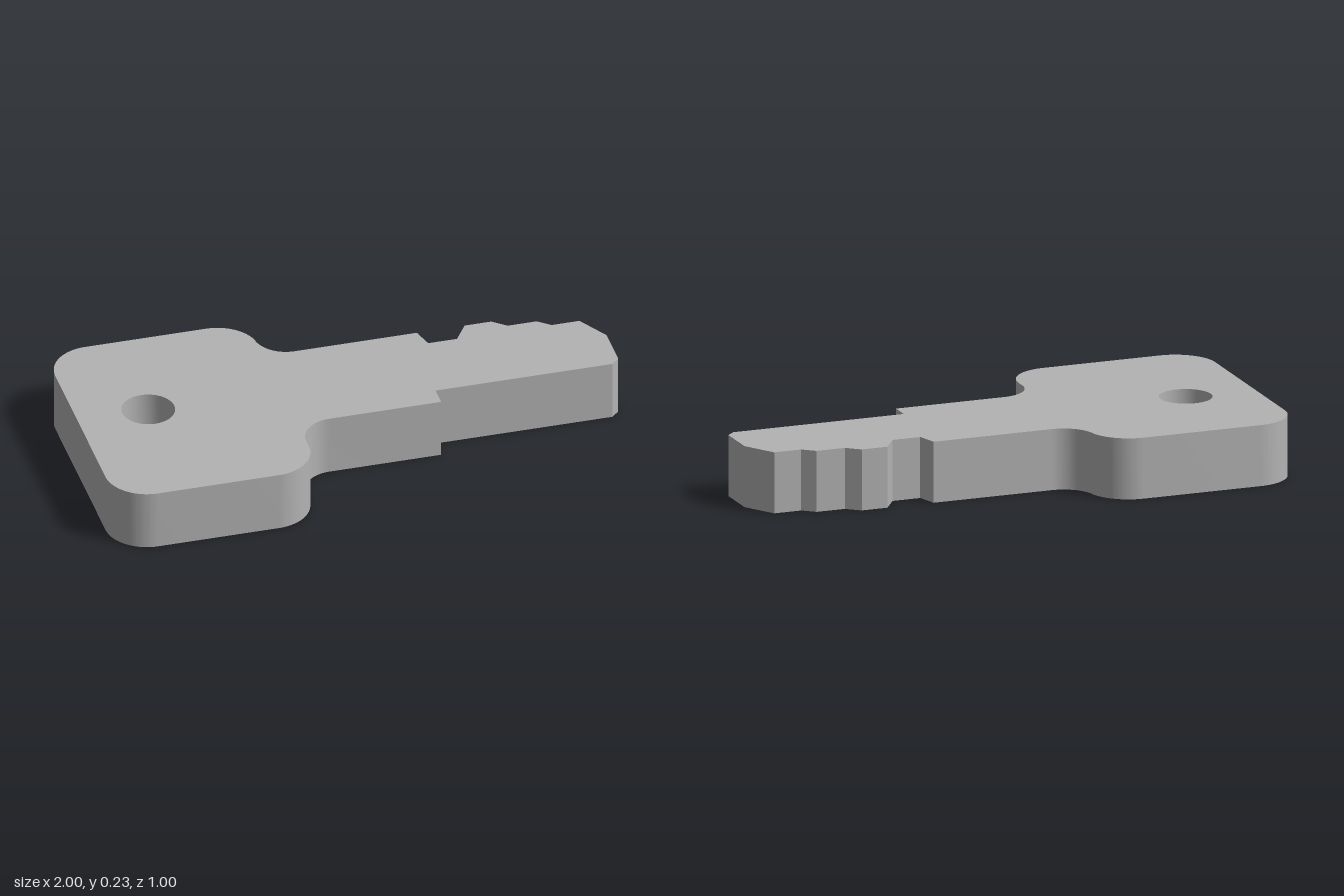
import * as THREE from 'three';
import { toCreasedNormals } from 'three/addons/utils/BufferGeometryUtils.js';

const THICKNESS = 0.23;

// Outline drawn flat, counter-clockwise; +y of the shape becomes the back (-z).
function keyOutline() {
  const s = new THREE.Shape();
  const { PI } = Math;

  // Blade: tip and toothed back edge
  const teeth = [
    [1, 0.075], [0.93, 0.192], [0.825, 0.192], [0.78, 0.23], [0.67, 0.23],
    [0.62, 0.272], [0.52, 0.272], [0.47, 0.195], [0.362, 0.195], [0.34, 0.272],
  ];
  s.moveTo(1, -0.085);
  teeth.forEach(([x, y]) => s.lineTo(x, y));

  // Back fillet into the rounded head
  s.absarc(-0.12, 0.392, 0.12, 1.5 * PI, PI + 0.1, true);
  s.absarc(-0.39, 0.345, 0.155, 0.2, PI / 2, false);
  s.absarc(-0.845, 0.345, 0.155, PI / 2, PI, false);
  s.absarc(-0.845, -0.345, 0.155, PI, 1.5 * PI, false);
  s.absarc(-0.39, -0.345, 0.155, 1.5 * PI, 2 * PI, false);

  // Front fillet, then the shoulder step and straight front edge
  s.absarc(-0.115, -0.31, 0.12, PI, PI / 2, true);
  [[0.305, -0.19], [0.305, -0.113], [0.97, -0.113]].forEach(([x, y]) => s.lineTo(x, y));
  s.closePath();

  // Key-ring hole
  const hole = new THREE.Path();
  hole.absarc(-0.733, 0.043, 0.098, 0, 2 * PI, true);
  s.holes.push(hole);
  return s;
}

export function createModel() {
  const metal = new THREE.MeshStandardMaterial({ color: 0xb3b3b3 });
  metal.name = 'grey metal';

  const extruded = new THREE.ExtrudeGeometry(keyOutline(), {
    depth: THICKNESS, bevelEnabled: false, curveSegments: 16,
  });
  extruded.rotateX(-Math.PI / 2);
  extruded.clearGroups();

  const key = new THREE.Mesh(toCreasedNormals(extruded, 0.4), metal);
  key.name = 'keyBody';

  const group = new THREE.Group();
  group.name = 'key';
  group.add(key);
  return group;
}
